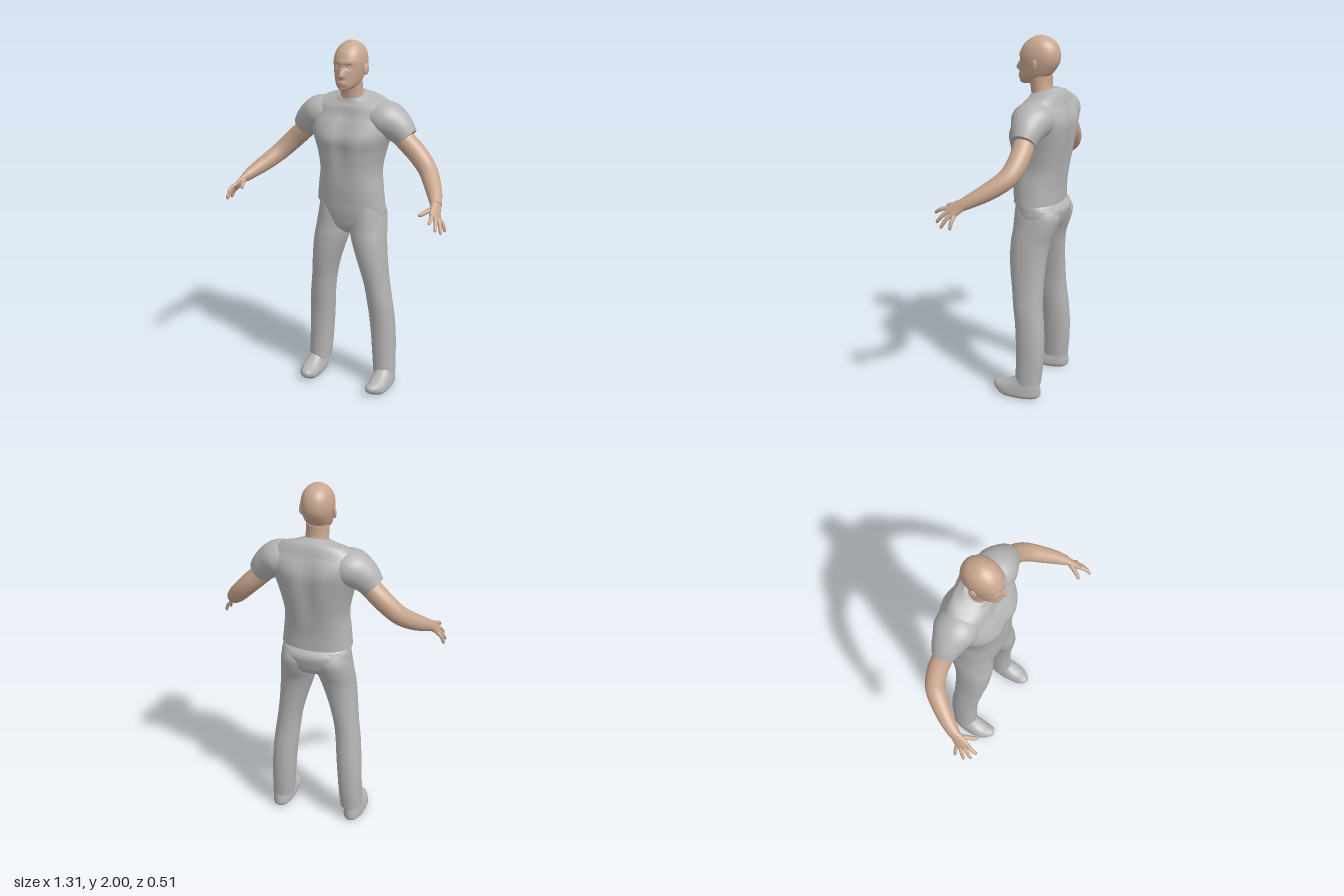
import * as THREE from 'three';

const skin = new THREE.MeshStandardMaterial({ color: 0xc9a78f });
skin.name = 'skin';
const cloth = new THREE.MeshStandardMaterial({ color: 0xb4b4b4 });
cloth.name = 'grey cloth';

const bell = (d, w) => Math.exp(-((d / w) ** 2));
const V = (x, y, z) => new THREE.Vector3(x, y, z);

// Smooth closed surface through stations [x, y, z, radiusU, radiusV].
// Without a width axis the rings lie flat; with one they follow the path.
function loft(stations, { axis = null, side = 1, segs = 28, steps = 5, power = 2, deform = null } = {}) {
  const path = new THREE.CatmullRomCurve3(stations.map(s => V(s[0], s[1], s[2])), false, 'catmullrom', 0.5);
  const size = new THREE.CatmullRomCurve3(stations.map(s => V(s[3], s[4], 0)), false, 'catmullrom', 0.5);
  const rows = (stations.length - 1) * steps;
  const pos = [], index = [];
  const tri = (a, b, c) => (side > 0 ? index.push(a, b, c) : index.push(a, c, b));
  const shape = c => Math.sign(c) * Math.abs(c) ** (2 / power);
  const rings = [];
  for (let j = 0; j <= rows; j++) {
    const c = path.getPoint(j / rows), r = size.getPoint(j / rows);
    let u = V(1, 0, 0), v = V(0, 0, 1);
    if (axis) {
      const t = path.getTangent(j / rows);
      v = axis.clone().addScaledVector(t, -axis.dot(t)).normalize();
      u = t.clone().cross(v);
    }
    const ring = [];
    for (let i = 0; i < segs; i++) {
      const a = (i / segs) * Math.PI * 2;
      const p = c.clone().addScaledVector(u, r.x * shape(Math.cos(a))).addScaledVector(v, r.y * shape(Math.sin(a)));
      if (deform) deform(p, c);
      p.x *= side;
      ring.push(p);
      pos.push(p.x, p.y, p.z);
    }
    rings.push(ring);
  }
  for (let j = 0; j < rows; j++) {
    for (let i = 0; i < segs; i++) {
      const a = j * segs + i, b = j * segs + (i + 1) % segs;
      tri(a, a + segs, b);
      tri(b, a + segs, b + segs);
    }
  }
  // End caps with their own corners, so the rim stays sharp
  [rings[0], rings[rows]].forEach((ring, end) => {
    const start = pos.length / 3;
    const mid = ring.reduce((m, p) => m.add(p), V(0, 0, 0)).divideScalar(segs);
    [mid, ...ring].forEach(p => pos.push(p.x, p.y, p.z));
    for (let i = 0; i < segs; i++) {
      const a = start + 1 + i, b = start + 1 + (i + 1) % segs;
      if (end) tri(start, b, a); else tri(start, a, b);
    }
  });
  const geo = new THREE.BufferGeometry();
  geo.setAttribute('position', new THREE.Float32BufferAttribute(pos, 3));
  geo.setIndex(index);
  geo.computeVertexNormals();
  return geo;
}

// Flat rings, listed from the bottom up
const offset = rows => rows.map(([y, x0, x1, zb, zf]) => [(x0 + x1) / 2, y, (zb + zf) / 2, (x1 - x0) / 2, (zf - zb) / 2]);
const centred = rows => offset(rows.map(([y, w, zb, zf]) => [y, -w, w, zb, zf]));

export function createModel() {
  const model = new THREE.Group();
  model.name = 'standingMan';
  const add = (name, geo, mat, parent = model) => {
    const mesh = new THREE.Mesh(geo, mat);
    mesh.name = name;
    parent.add(mesh);
    return mesh;
  };

  // Head, with the face pressed and pulled out of the skull
  const face = (p, c) => {
    if (p.z < c.z + 0.03) return;
    const x = Math.abs(p.x), y = p.y;
    p.z += 0.024 * bell(x, 0.013) * bell(y - 1.822, y > 1.822 ? 0.034 : 0.01)
      - 0.012 * bell(x - 0.033, 0.016) * bell(y - 1.872, 0.013)
      + 0.004 * bell(x, 0.05) * bell(y - 1.895, 0.012)
      + 0.008 * bell(x, 0.024) * bell(y - 1.787, 0.006)
      + 0.006 * bell(x, 0.024) * bell(y - 1.775, 0.005)
      - 0.004 * bell(x, 0.02) * bell(y - 1.763, 0.005);
  };
  add('head', loft(centred([
    [1.742, 0.012, -0.01, 0.025], [1.748, 0.032, -0.05, 0.038], [1.765, 0.052, -0.09, 0.044],
    [1.79, 0.066, -0.13, 0.045], [1.82, 0.075, -0.155, 0.044], [1.86, 0.083, -0.178, 0.042],
    [1.9, 0.085, -0.182, 0.04], [1.94, 0.077, -0.172, 0.024], [1.97, 0.06, -0.15, -0.003],
    [1.99, 0.035, -0.115, -0.035], [1.998, 0.014, -0.088, -0.057], [2, 0.002, -0.074, -0.07],
  ]), { segs: 72, steps: 6, power: 2.15, deform: face }), skin);
  add('neck', loft(centred([
    [1.64, 0.085, -0.16, -0.03], [1.69, 0.066, -0.15, -0.026], [1.74, 0.061, -0.14, -0.018], [1.79, 0.059, -0.14, -0.005],
  ])), skin);

  // Shirt body, with grooves down the chest and spine and a collar dipping in front
  const grooves = (p, c) => {
    const chest = THREE.MathUtils.smoothstep(p.y, 1.2, 1.45) * (1 - THREE.MathUtils.smoothstep(p.y, 1.58, 1.68));
    p.z += (p.z > c.z ? -0.016 : 0.018) * bell(p.x, 0.045) * chest;
    p.y -= (p.z + 0.09) * 0.3 * THREE.MathUtils.smoothstep(p.y, 1.64, 1.7);
  };
  add('shirtBody', loft(centred([
    [1.11, 0.195, -0.207, 0.052], [1.2, 0.185, -0.21, 0.06], [1.3, 0.175, -0.226, 0.065],
    [1.4, 0.193, -0.245, 0.072], [1.48, 0.218, -0.257, 0.08], [1.55, 0.238, -0.262, 0.05],
    [1.6, 0.245, -0.25, 0.018], [1.645, 0.23, -0.225, -0.002], [1.678, 0.18, -0.2, -0.015],
    [1.695, 0.115, -0.175, -0.022], [1.71, 0.072, -0.16, -0.026],
  ]), { segs: 56, power: 2.3, deform: grooves }), cloth);

  // Hips
  add('trouserHips', loft(centred([
    [0.93, 0.03, -0.12, -0.02], [0.97, 0.14, -0.2, 0.02], [1.03, 0.19, -0.226, 0.035],
    [1.08, 0.191, -0.23, 0.042], [1.12, 0.184, -0.19, 0.044],
  ]), { segs: 40, power: 2.3 }), cloth);

  for (const side of [1, -1]) {
    const tag = side > 0 ? 'left' : 'right';
    const part = (name, geo, mat) => add(tag + name, geo, mat);

    part('TrouserLeg', loft(offset([
      [0.085, 0.15, 0.274, -0.165, -0.02], [0.2, 0.14, 0.27, -0.176, -0.02], [0.32, 0.131, 0.267, -0.178, -0.018],
      [0.43, 0.122, 0.26, -0.172, -0.01], [0.53, 0.113, 0.25, -0.162, 0.005], [0.63, 0.1, 0.236, -0.16, 0.018],
      [0.73, 0.075, 0.226, -0.162, 0.034], [0.82, 0.046, 0.219, -0.168, 0.042], [0.9, 0.02, 0.212, -0.182, 0.042],
      [0.97, 0.002, 0.204, -0.208, 0.034], [1.04, 0, 0.194, -0.224, 0.03], [1.1, 0.01, 0.18, -0.2, 0.025],
    ]), { side, segs: 32, power: 2.2 }), cloth);

    part('Shoe', loft(offset([
      [0, 0.172, 0.268, -0.15, 0.098], [0.015, 0.162, 0.28, -0.166, 0.116], [0.04, 0.162, 0.28, -0.168, 0.114],
      [0.068, 0.168, 0.275, -0.165, 0.07], [0.095, 0.172, 0.268, -0.16, 0.01], [0.13, 0.18, 0.26, -0.15, -0.04],
    ]), { side, segs: 36, power: 2.2, deform: p => {
      p.y += 0.018 * THREE.MathUtils.smoothstep(p.z, 0.04, 0.12);
      p.x -= 0.012 * THREE.MathUtils.smoothstep(p.z, 0.03, 0.12);
    } }), cloth);

    part('Sleeve', loft([
      [0.12, 1.59, -0.11, 0.085, 0.105], [0.2, 1.58, -0.11, 0.1, 0.115],
      [0.262, 1.545, -0.11, 0.088, 0.09], [0.318, 1.49, -0.11, 0.066, 0.064],
    ], { side, axis: V(0, 0, 1), steps: 6 }), cloth);

    // Arm runs from inside the sleeve to the wrist, bending forward at the elbow
    const across = V(0.35, -0.49, -0.79).normalize();
    part('Arm', loft([
      [0.24, 1.545, -0.11, 0.06, 0.058], [0.31, 1.475, -0.11, 0.056, 0.056], [0.38, 1.41, -0.11, 0.055, 0.054],
      [0.45, 1.34, -0.085, 0.051, 0.052], [0.505, 1.285, -0.02, 0.046, 0.048],
      [0.55, 1.242, 0.05, 0.038, 0.04], [0.58, 1.211, 0.108, 0.027, 0.033],
    ], { side, axis: across }), skin);

    part('Palm', loft([
      [0.575, 1.218, 0.096, 0.026, 0.03], [0.588, 1.197, 0.132, 0.019, 0.036],
      [0.601, 1.173, 0.166, 0.015, 0.042], [0.607, 1.162, 0.18, 0.01, 0.038], [0.609, 1.159, 0.184, 0.003, 0.03],
    ], { side, axis: across, segs: 20 }), skin);

    const digit = (name, base, tip, r, drop) => {
      const at = k => {
        const p = base.clone().lerp(tip, k);
        return [p.x + 0.006 * Math.sin(k * Math.PI), p.y + drop * Math.sin(k * Math.PI), p.z];
      };
      part(name, loft([[0, 1.1], [0.35, 1], [0.7, 0.9], [0.93, 0.7], [1, 0.1]].map(([k, s]) => [...at(k), r * s, r * s]),
        { side, axis: across, segs: 12, steps: 3 }), skin);
    };
    [['IndexFinger', -0.033, V(0.6, 1.155, 0.257)], ['MiddleFinger', -0.011, V(0.628, 1.113, 0.237)],
      ['RingFinger', 0.011, V(0.647, 1.092, 0.204)], ['LittleFinger', 0.031, V(0.65, 1.09, 0.15)]]
      .forEach(([name, o, tip]) => digit(name, V(0.602, 1.171, 0.167).addScaledVector(across, o), tip, 0.0105, 0.006));
    digit('Thumb', V(0.577, 1.206, 0.122), V(0.53, 1.18, 0.222), 0.0135, 0.003);

    // Ear and closed eyelid
    const ear = part('Ear', new THREE.SphereGeometry(1, 18, 12), skin);
    ear.scale.set(0.009, 0.031, 0.019);
    ear.position.set(side * 0.09, 1.852, -0.07);
    ear.rotation.set(-0.15, side * -0.35, 0);
    const lid = part('Eyelid', new THREE.SphereGeometry(1, 16, 10), skin);
    lid.scale.set(0.014, 0.008, 0.008);
    lid.position.set(side * 0.032, 1.871, 0.021);
  }
  return model;
}
